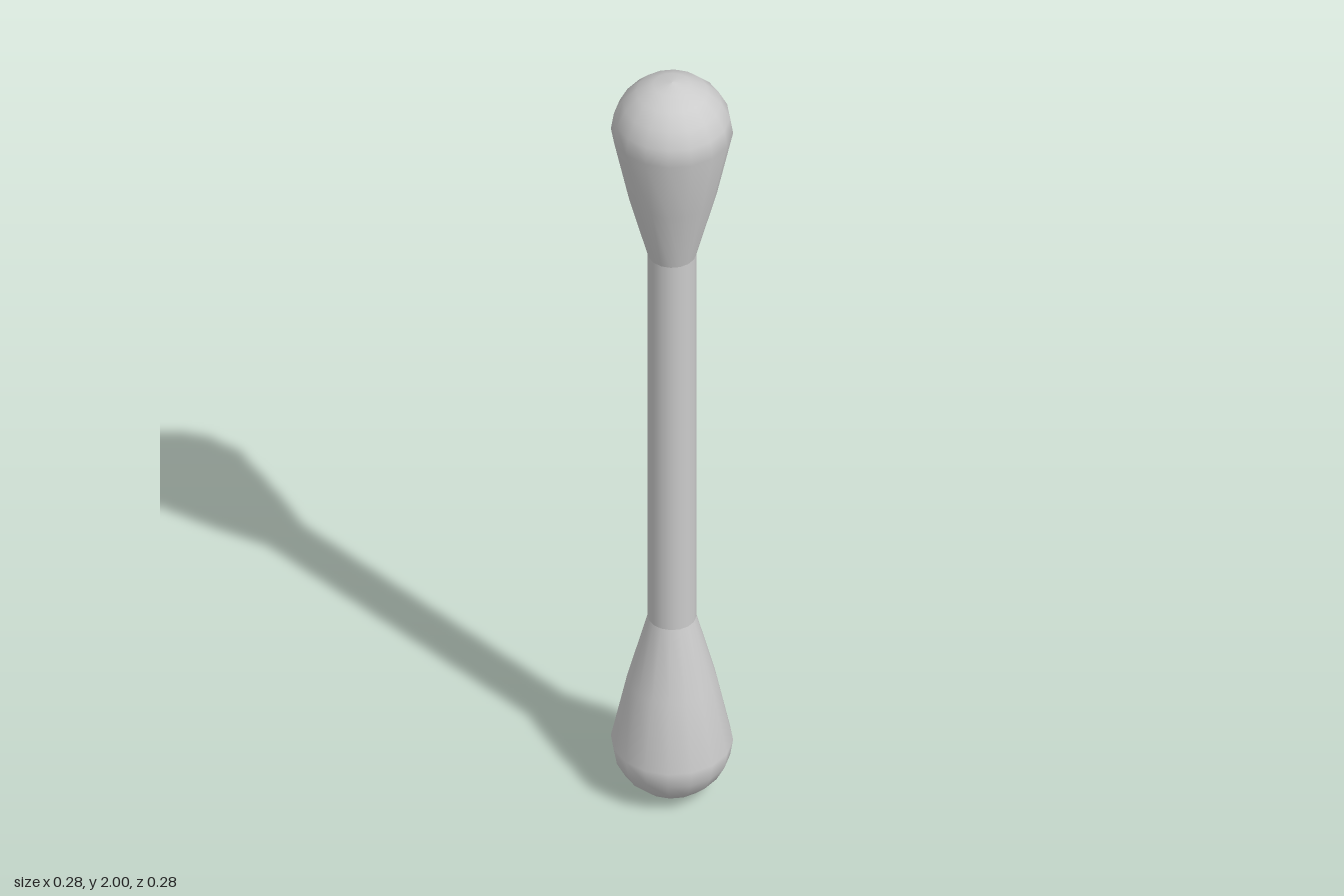
import * as THREE from 'three';

const SIDES = 16;
const SHAFT_RADIUS = 0.055;
const BUD_RADIUS = 0.1375;
const JOIN = 0.515; // distance from mid-height to where each bud meets the shaft

export function createModel() {
  const group = new THREE.Group();
  group.name = 'cottonSwab';
  const material = new THREE.MeshStandardMaterial({ color: 0xcccccc });

  // Straight stick between the buds
  const shaft = new THREE.Mesh(
    new THREE.CylinderGeometry(SHAFT_RADIUS, SHAFT_RADIUS, JOIN * 2, SIDES, 1, true),
    material
  );
  shaft.name = 'shaft';
  shaft.position.y = 1;
  group.add(shaft);

  // Bud profile: flared neck, then a rounded cap
  const capCentre = 1 - BUD_RADIUS;
  const profile = [
    new THREE.Vector2(SHAFT_RADIUS, JOIN),
    new THREE.Vector2(0.101, 0.69),
  ];
  const capSteps = 5;
  for (let i = 0; i <= capSteps; i++) {
    const a = (i / capSteps) * Math.PI / 2;
    profile.push(new THREE.Vector2(
      i === capSteps ? 0 : BUD_RADIUS * Math.cos(a),
      capCentre + BUD_RADIUS * Math.sin(a)
    ));
  }
  const budGeometry = new THREE.LatheGeometry(profile, SIDES);

  // The lower bud is the upper one turned over
  for (const [name, turn] of [['upperBud', 0], ['lowerBud', Math.PI]]) {
    const bud = new THREE.Mesh(budGeometry, material);
    bud.name = name;
    bud.position.y = 1;
    bud.rotation.x = turn;
    group.add(bud);
  }

  return group;
}
